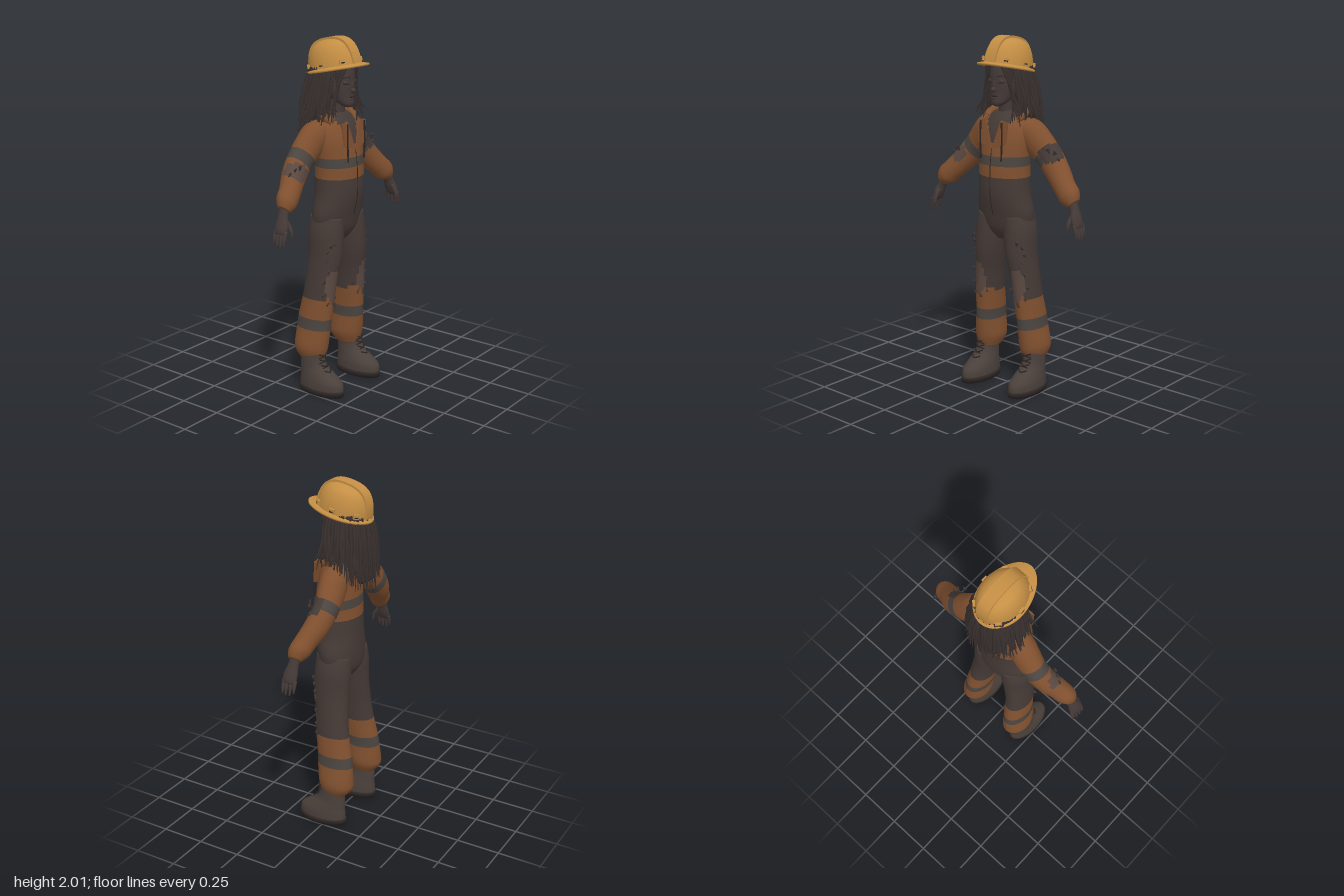
import * as THREE from 'three';

const mat = (name, color, side = THREE.FrontSide) => {
  const m = new THREE.MeshStandardMaterial({ color, side });
  m.name = name;
  return m;
};
const M = {
  charcoal: mat('charcoal cloth', 0x453a36),
  orange: mat('rust orange cloth', 0x80502f),
  stripe: mat('grey stripe', 0x4c4540),
  skin: mat('skin', 0x443a38),
  hair: mat('hair', 0x38302e),
  boot: mat('boot leather', 0x4a403b),
  sole: mat('dark trim', 0x2b2523),
  helmet: mat('helmet yellow', 0xc48e44, THREE.DoubleSide),
  bare: mat('bare knee skin', 0x5a4841),
};
const list = Object.values(M);

let seed = 7;
const rnd = (a = 0, b = 1) => {
  seed = (seed * 16807) % 2147483647;
  return a + (b - a) * seed / 2147483647;
};

function add(parent, name, geo, material, x = 0, y = 0, z = 0) {
  const m = new THREE.Mesh(geo, material);
  m.name = name;
  m.position.set(x, y, z);
  parent.add(m);
  return m;
}

// Closed skin over elliptical sections [x, y, z, sideRadius, depthRadius].
// paint(p, k) picks the material from the face centre and its section number.
function loft(parent, name, secs, paint, segs = 24, sub = 4) {
  const rows = [], pos = [], buckets = new Map();
  const at = i => secs[Math.min(secs.length - 1, Math.max(0, i))];
  for (let i = 0; i < secs.length - 1; i++) {
    for (let s = 0; s < sub; s++) {
      const t = s / sub;
      rows.push(at(i).map((b, c) => {
        const a = at(i - 1)[c], d = at(i + 1)[c], e = at(i + 2)[c];
        return b + 0.5 * t * (d - a + t * (2 * a - 5 * b + 4 * d - e + t * (3 * (b - d) + e - a)));
      }));
    }
  }
  rows.push(at(secs.length));
  rows.forEach(([x, y, z, a, b], i) => {
    const p = rows[Math.max(0, i - 1)], n = rows[Math.min(rows.length - 1, i + 1)];
    const l = Math.hypot(n[0] - p[0], n[1] - p[1]) || 1;
    const ux = (n[1] - p[1]) / l, uy = -(n[0] - p[0]) / l;
    for (let j = 0; j < segs; j++) {
      const q = j / segs * Math.PI * 2, c = Math.cos(q) * a;
      pos.push(x + ux * c, y + uy * c, z + Math.sin(q) * b);
    }
  });
  const first = pos.length / 3, last = rows.length - 1;
  pos.push(...rows[0].slice(0, 3), ...rows[last].slice(0, 3));
  const face = (k, ...v) => {
    const p = new THREE.Vector3();
    v.forEach(i => p.add(new THREE.Vector3().fromArray(pos, i * 3)));
    const m = paint.isMaterial ? paint : paint(p.divideScalar(v.length), k);
    if (!buckets.has(m)) buckets.set(m, []);
    const [a, b, c, d] = v;
    buckets.get(m).push(a, b, c);
    if (d !== undefined) buckets.get(m).push(b, d, c);
  };
  for (let j = 0; j < segs; j++) {
    const j2 = (j + 1) % segs;
    for (let i = 0; i < last; i++) {
      face((i + 0.5) / sub, i * segs + j, (i + 1) * segs + j, i * segs + j2, (i + 1) * segs + j2);
    }
    face(0, first, j, j2);
    face(secs.length - 1, first + 1, last * segs + j2, last * segs + j);
  }
  const g = new THREE.BufferGeometry(), index = [];
  g.setAttribute('position', new THREE.Float32BufferAttribute(pos, 3));
  for (const [m, ids] of buckets) {
    g.addGroup(index.length, ids.length, list.indexOf(m));
    for (const id of ids) index.push(id);
  }
  g.setIndex(index);
  g.computeVertexNormals();
  return add(parent, name, g, list);
}

function tube(parent, name, pts, r, material, n = 16) {
  const curve = new THREE.CatmullRomCurve3(pts.map(p => new THREE.Vector3(...p)));
  return add(parent, name, new THREE.TubeGeometry(curve, n, r, 6), material);
}

function ball(parent, name, m, x, y, z, sx, sy, sz) {
  return add(parent, name, new THREE.SphereGeometry(1, 14, 10).scale(sx, sy, sz), m, x, y, z);
}

// Ragged cloth points around a tear
function tatters(parent, x, y, z, rx, ry, material) {
  for (let k = 0; k < 9; k++) {
    const q = k / 9 * Math.PI * 2, len = rnd(0.03, 0.06);
    const m = add(parent, 'tornEdge', new THREE.ConeGeometry(0.014, len, 4).scale(1, 1, 0.3), material,
      x + Math.cos(q) * rx, y + Math.sin(q) * ry, z - Math.abs(Math.cos(q)) * 0.03);
    m.rotation.set(0.25, 0, q + Math.PI / 2 + rnd(-0.5, 0.5));
  }
}

function buildBody(g) {
  loft(g, 'coverall', [
    [0, 0.88, 0.005, 0.06, 0.06], [0, 0.94, 0.005, 0.15, 0.1], [0, 1.03, 0.012, 0.178, 0.115],
    [0, 1.14, 0.025, 0.16, 0.125], [0, 1.243, 0.027, 0.154, 0.125], [0, 1.307, 0.027, 0.155, 0.122],
    [0, 1.36, 0.025, 0.157, 0.118], [0, 1.45, 0.02, 0.163, 0.108], [0, 1.53, 0.008, 0.15, 0.09],
    [0, 1.575, 0, 0.105, 0.07], [0, 1.6, 0, 0.06, 0.05],
  ], p => {
    if (p.y < 1.243) return M.charcoal;
    if (p.y > 1.307 && p.y < 1.36) return M.stripe;
    return p.z > 0 && p.y > 1.41 && Math.abs(p.x) < (p.y - 1.4) * 0.5 ? M.charcoal : M.orange;
  }, 40, 5);
  tube(g, 'frontSeam', [[0, 1.4, 0.136], [0, 1.3, 0.149], [0, 1.14, 0.15], [0, 1.03, 0.127]], 0.003, M.sole);
  // Hood roll, open lapels and drawstrings
  tube(g, 'hoodRoll', [[-0.1, 1.555, 0.06], [-0.115, 1.585, 0], [-0.07, 1.6, -0.06], [0, 1.605, -0.08],
    [0.07, 1.6, -0.06], [0.115, 1.585, 0], [0.1, 1.555, 0.06]], 0.024, M.orange, 32);
  for (const s of [-1, 1]) {
    const lapel = new THREE.Shape([[0, 0], [0.095 * s, 0.03], [0.105 * s, 0.15], [0.055 * s, 0.16]]
      .map(p => new THREE.Vector2(...p)));
    const l = add(g, 'lapel', new THREE.ExtrudeGeometry(lapel, { depth: 0.008, bevelEnabled: false }), M.orange, 0, 1.4, 0.13);
    l.rotation.x = -0.08;
    tube(g, 'drawstring', [[0.075 * s, 1.55, 0.14], [0.078 * s, 1.46, 0.142], [0.073 * s, 1.34, 0.142]], 0.005, M.sole);
  }
}

function buildLeg(g, s) {
  const kx = 0.14 * s;
  loft(g, 'trouserLeg', [
    [0.09 * s, 1.02, 0.01, 0.075, 0.1], [0.1 * s, 0.93, 0.01, 0.088, 0.106], [0.112 * s, 0.8, 0.012, 0.08, 0.105],
    [0.13 * s, 0.67, 0, 0.072, 0.098], [0.142 * s, 0.55, -0.012, 0.07, 0.1], [0.152 * s, 0.435, -0.03, 0.07, 0.106],
    [0.157 * s, 0.37, -0.036, 0.07, 0.108], [0.164 * s, 0.28, -0.045, 0.08, 0.106],
    [0.166 * s, 0.235, -0.048, 0.075, 0.1], [0.166 * s, 0.19, -0.04, 0.055, 0.075],
  ], p => {
    const tear = ((p.x - kx) / 0.042) ** 2 + ((p.y - 0.63) / 0.1) ** 2;
    if (p.z > 0.02 && tear < 1) return M.bare;
    if (p.y > 0.55 + 0.2 * Math.max(0, p.z)) return M.charcoal;
    return p.y > 0.37 && p.y < 0.435 ? M.stripe : M.orange;
  }, 32, 5);
  tatters(g, kx, 0.63, 0.095, 0.042, 0.1, M.charcoal);
  tatters(g, kx + 0.005 * s, 0.82, 0.108, 0.02, 0.05, M.charcoal);

  // Boot with sole, heel, collar and laces
  const x = 0.176 * s;
  loft(g, 'sole', [[x, 0, 0.035, 0.074, 0.148], [x, 0.03, 0.035, 0.076, 0.15]], M.sole, 28, 1);
  loft(g, 'boot', [
    [x, 0.025, 0.035, 0.072, 0.146], [x, 0.07, 0.034, 0.072, 0.143], [x, 0.105, 0.015, 0.066, 0.12],
    [x, 0.15, -0.017, 0.058, 0.088], [x, 0.2, -0.027, 0.057, 0.074], [x - 0.005 * s, 0.255, -0.025, 0.06, 0.077],
  ], M.boot, 28, 3);
  for (let i = 0; i < 4; i++) {
    const y = 0.13 + i * 0.03, z = [0.094, 0.07, 0.058, 0.056][i];
    for (const d of [-1, 1]) {
      tube(g, 'lace', [[x - 0.03, y - 0.012 * d, z - 0.018], [x, y, z + 0.002], [x + 0.03, y + 0.012 * d, z - 0.018]], 0.004, M.sole, 6);
    }
  }
}

function buildArm(g, s) {
  const tx = s > 0 ? 0.3 : 0.35, ty = s > 0 ? 1.37 : 1.3;
  loft(g, 'sleeve', [
    [0.07 * s, 1.51, -0.015, 0.05, 0.06], [0.14 * s, 1.485, -0.025, 0.085, 0.075], [0.2 * s, 1.425, -0.035, 0.088, 0.073],
    [0.24 * s, 1.385, -0.04, 0.082, 0.069], [0.282 * s, 1.342, -0.04, 0.077, 0.067], [0.345 * s, 1.275, -0.025, 0.07, 0.066],
    [0.405 * s, 1.215, 0, 0.063, 0.06], [0.448 * s, 1.175, 0.012, 0.062, 0.056], [0.478 * s, 1.142, 0.02, 0.036, 0.036],
  ], (p, k) => {
    const tear = ((Math.abs(p.x) - tx) / 0.06) ** 2 + ((p.y - ty - 0.02) / 0.05) ** 2;
    if (tear < 1 && p.z > -0.05) return s > 0 ? M.charcoal : M.bare;
    return k > 3 && k < 4 ? M.stripe : M.orange;
  }, 28, 5);
  tatters(g, tx * s, ty, 0.03, 0.04, 0.035, M.charcoal);
  // Wrist, palm, fingers and thumb
  loft(g, 'hand', [
    [0.465 * s, 1.155, 0.02, 0.03, 0.032], [0.485 * s, 1.115, 0.023, 0.024, 0.03], [0.5 * s, 1.075, 0.028, 0.024, 0.04],
    [0.514 * s, 1.04, 0.03, 0.02, 0.042], [0.522 * s, 1.02, 0.03, 0.011, 0.034],
  ], M.skin, 14, 3);
  [-0.005, 0.018, 0.042, 0.063].forEach((z, i) => {
    const len = [0.8, 0.97, 1, 0.9][i];
    loft(g, 'finger', [[0.513 * s, 1.04, z, 0.011, 0.011], [(0.513 + 0.016 * len) * s, 1.04 - 0.045 * len, z, 0.01, 0.01],
      [(0.513 + 0.024 * len) * s, 1.04 - 0.085 * len, z, 0.005, 0.005]], M.skin, 8, 3);
  });
  loft(g, 'thumb', [[0.49 * s, 1.09, 0.045, 0.014, 0.014], [0.487 * s, 1.045, 0.075, 0.012, 0.012],
    [0.487 * s, 1.005, 0.083, 0.006, 0.006]], M.skin, 8, 3);
}

function buildHead(g) {
  loft(g, 'neck', [[0, 1.55, 0.005, 0.06, 0.055], [0, 1.6, 0.01, 0.044, 0.044], [0, 1.69, 0.015, 0.045, 0.05]], M.skin);
  loft(g, 'head', [
    [0, 1.63, 0.085, 0.02, 0.022], [0, 1.65, 0.07, 0.044, 0.046], [0, 1.69, 0.037, 0.066, 0.076],
    [0, 1.75, 0.018, 0.082, 0.096], [0, 1.82, 0.005, 0.09, 0.106], [0, 1.9, 0, 0.075, 0.09], [0, 1.94, 0, 0.03, 0.04],
  ], M.skin);
  ball(g, 'nose', M.skin, 0, 1.722, 0.117, 0.013, 0.014, 0.018);
  ball(g, 'noseBridge', M.skin, 0, 1.748, 0.11, 0.008, 0.028, 0.012);
  ball(g, 'upperLip', M.sole, 0, 1.686, 0.112, 0.02, 0.005, 0.008);
  ball(g, 'lowerLip', M.skin, 0, 1.677, 0.11, 0.017, 0.006, 0.01);
  for (const s of [-1, 1]) {
    ball(g, 'eyelid', M.skin, 0.036 * s, 1.767, 0.096, 0.02, 0.013, 0.012);
    tube(g, 'lashLine', [[0.016 * s, 1.763, 0.107], [0.036 * s, 1.758, 0.108], [0.056 * s, 1.764, 0.093]], 0.003, M.sole, 8);
    tube(g, 'eyebrow', [[0.016 * s, 1.792, 0.111], [0.036 * s, 1.799, 0.105], [0.06 * s, 1.79, 0.085]], 0.004, M.hair, 8);
  }
}

function buildHair(g) {
  loft(g, 'hairMass', [[0, 1.88, -0.05, 0.1, 0.09], [0, 1.8, -0.065, 0.115, 0.085], [0, 1.68, -0.1, 0.13, 0.068],
    [0, 1.57, -0.13, 0.13, 0.045], [0, 1.47, -0.15, 0.085, 0.02]], M.hair);
  // Long locks from the back round to the temples
  for (let i = 0; i < 110; i++) {
    const q = -2.2 + 4.4 * i / 109, sn = Math.sin(q), c = Math.cos(q), w = rnd(0.92, 1.1), r = rnd(0.006, 0.012);
    const back = Math.max(0, c), tip = 1.55 - 0.1 * back + rnd(-0.04, 0.05);
    loft(g, 'lock', [
      [0.105 * sn, 1.85, -0.02 - 0.115 * c, r, r], [0.128 * sn * w, 1.76, -0.025 - 0.13 * c * w, r, r],
      [0.145 * sn * w + rnd(-0.01, 0.01), 1.66, -0.035 - 0.135 * c * w, r * 1.1, r],
      [0.17 * sn * w + rnd(-0.02, 0.02), tip, -0.04 - 0.145 * c * w, 0.002, 0.002],
    ], M.hair, 5, 3);
  }
  // Parted fringe and loose face strands
  for (const s of [-1, 1]) {
    for (let i = 0; i < 7; i++) {
      const x = 0.012 + i * 0.012, d = rnd(-0.008, 0.008);
      loft(g, 'fringe', [[x * s, 1.88, 0.1 - x * 0.3, 0.008, 0.008], [(x * 0.6 + 0.045) * s, 1.82, 0.098 - x * 0.3, 0.008, 0.006],
        [(0.083 + d) * s, 1.73, 0.075, 0.008, 0.006], [(0.095 + 0.006 * i + d) * s, 1.64, 0.07, 0.006, 0.005],
        [(0.085 + 0.014 * i) * s, 1.53 + rnd(0, 0.08), 0.08, 0.002, 0.002]], M.hair, 5, 3);
    }
  }
}

function buildHelmet(g) {
  const h = new THREE.Group();
  h.name = 'helmet';
  h.position.y = 1.83;
  h.rotation.x = -0.2;
  g.add(h);
  const prof = [[1, 0], [0.98, 0.25], [0.91, 0.52], [0.76, 0.77], [0.53, 0.92], [0.27, 0.985], [0, 1]];
  const V = ([x, y]) => new THREE.Vector2(x, y);
  const curve = new THREE.SplineCurve(prof.map(V)).getPoints(18);
  curve[18].x = 0;
  add(h, 'dome', new THREE.LatheGeometry(curve, 40).scale(0.121, 0.165, 0.155), M.helmet);
  // Rim drawn out into a visor at the front
  const rim = new THREE.LatheGeometry([[0.96, -0.04], [1.11, -0.04], [1.11, 0.02], [0.98, 0.09]].map(V), 48);
  const p = rim.attributes.position;
  for (let i = 0; i < p.count; i++) {
    const x = p.getX(i), z = p.getZ(i), r = Math.hypot(x, z), front = Math.max(0, z / r) ** 2;
    if (r > 1.05) p.setZ(i, z + 0.26 * front);
  }
  rim.scale(0.121, 0.165, 0.155).computeVertexNormals();
  add(h, 'rimAndVisor', rim, M.helmet);
  // Raised crown ridge
  const half = curve.map(c => [c.x * 0.158, c.y * 0.173]);
  const outline = new THREE.Shape([...half, ...half.slice(0, -1).reverse().map(([x, y]) => [-x, y])].map(V));
  const ridge = new THREE.ExtrudeGeometry(outline, { depth: 0.07, bevelEnabled: false });
  ridge.translate(0, 0, -0.035).rotateY(Math.PI / 2);
  add(h, 'crownRidge', ridge, M.helmet);
  // Clips along the sides
  for (const s of [-1, 1]) {
    for (const q of [-0.85, 0.05, 0.85]) {
      const x = 0.124 * Math.cos(q) * s, z = 0.157 * Math.sin(q);
      const clip = add(h, 'clip', new THREE.BoxGeometry(0.014, 0.024, 0.032), M.helmet, x, 0.032, z);
      clip.rotation.y = -q * s;
      const slot = add(clip, 'clipSlot', new THREE.BoxGeometry(0.004, 0.007, 0.022), M.sole, 0.006 * s);
      slot.position.y = -0.004;
    }
  }
}

export function createModel() {
  const g = new THREE.Group();
  g.name = 'workerFigure';
  buildBody(g);
  for (const s of [-1, 1]) {
    buildLeg(g, s);
    buildArm(g, s);
  }
  buildHead(g);
  buildHair(g);
  buildHelmet(g);
  return g;
}
